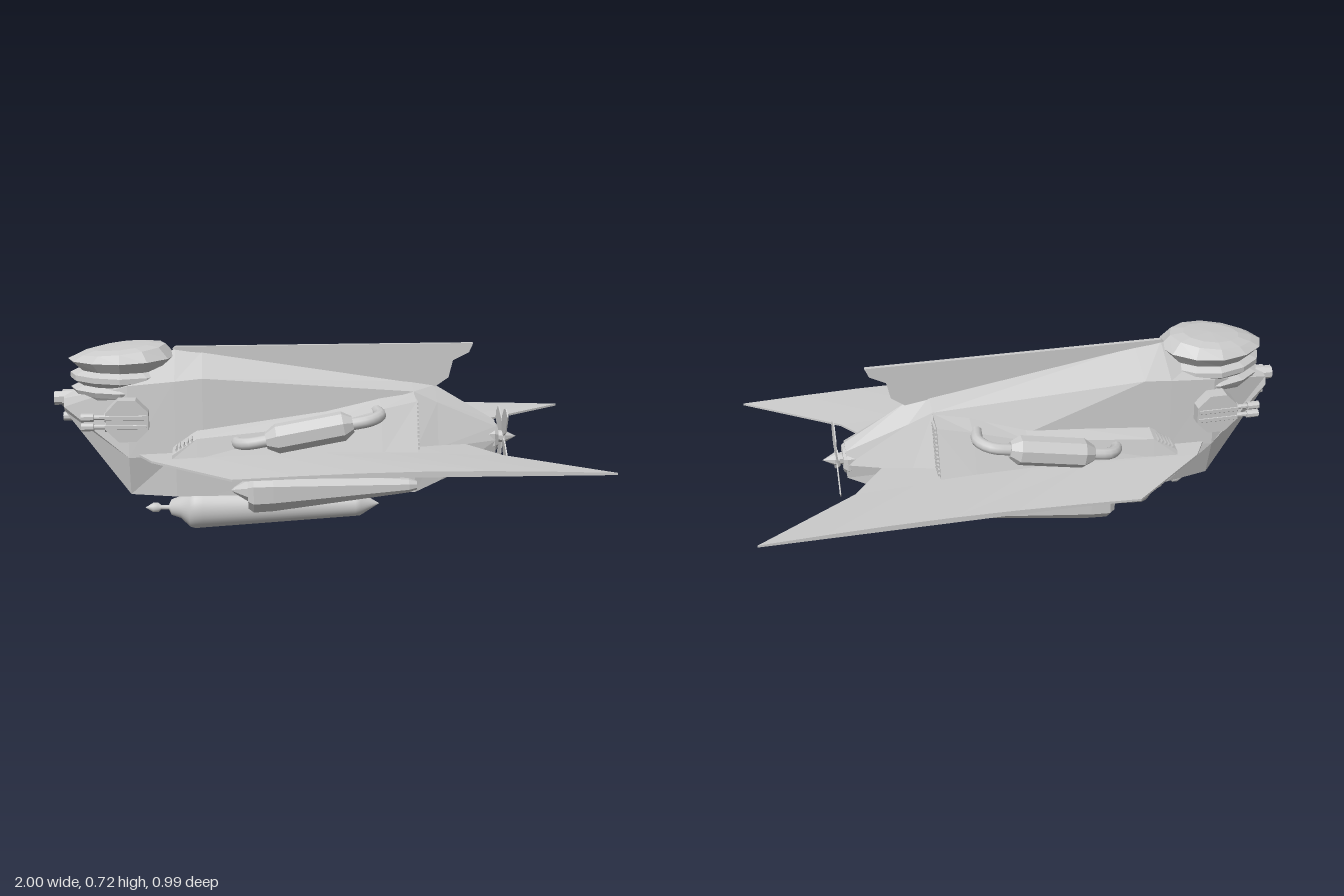
import * as THREE from 'three';

const flat = new THREE.MeshStandardMaterial({ color: 0xcccccc, flatShading: true, side: THREE.DoubleSide });
const smooth = new THREE.MeshStandardMaterial({ color: 0xcccccc, side: THREE.DoubleSide });

// Skin closed cross-sections ([x, y, z] corners) and cap both ends, faces outward.
function loft(rings) {
  const tris = [];
  const n = rings[0].length;
  for (let i = 0; i < rings.length - 1; i++) {
    for (let j = 0; j < n; j++) {
      const k = (j + 1) % n, a = rings[i], b = rings[i + 1];
      tris.push([a[j], b[j], b[k]], [a[j], b[k], a[k]]);
    }
  }
  const last = rings[rings.length - 1];
  for (let j = 1; j < n - 1; j++) {
    tris.push([rings[0][0], rings[0][j], rings[0][j + 1]], [last[0], last[j + 1], last[j]]);
  }
  let volume = 0;
  const v = (p) => new THREE.Vector3(...p);
  for (const [a, b, c] of tris) volume += v(a).dot(v(b).cross(v(c)));
  if (volume < 0) tris.forEach((t) => t.reverse());
  const geo = new THREE.BufferGeometry();
  geo.setAttribute('position', new THREE.Float32BufferAttribute(tris.flat(2), 3));
  geo.computeVertexNormals();
  return geo;
}

// Body of revolution along x; profile is [x, radius] from front to back.
function spindle(profile, sides) {
  const pts = profile.map(([x, r]) => new THREE.Vector2(r, -x)).reverse();
  return new THREE.LatheGeometry(pts, sides, Math.PI / sides).rotateZ(Math.PI / 2);
}

export function createModel() {
  const model = new THREE.Group();
  const add = (name, geo, x = 0, y = 0, z = 0, mat = flat, parent = model) => {
    const m = new THREE.Mesh(geo, mat);
    m.name = name;
    m.position.set(x, y, z);
    parent.add(m);
    return m;
  };

  // Hull: x, bottom y/z, chine y/z, shoulder y/z, ridge y
  const hull = [
    [-0.96, 0.48, 0.04, 0.5, 0.06, 0.53, 0.05, 0.54],
    [-0.72, 0.18, 0.125, 0.33, 0.165, 0.595, 0.145, 0.63],
    [-0.55, 0.18, 0.165, 0.34, 0.168, 0.61, 0.15, 0.7],
    [-0.45, 0.18, 0.165, 0.34, 0.168, 0.62, 0.15, 0.69],
    [0.33, 0.18, 0.165, 0.34, 0.165, 0.545, 0.083, 0.565],
    [0.42, 0.21, 0.132, 0.34, 0.13, 0.5, 0.072, 0.55],
    [0.65, 0.285, 0.045, 0.345, 0.055, 0.395, 0.04, 0.41],
  ];
  add('hull', loft(hull.map(([x, yb, zb, ym, zm, ys, zs, yt]) => [
    [x, yb, zb], [x, ym, zm], [x, ys, zs], [x, yt, 0],
    [x, ys, -zs], [x, ym, -zm], [x, yb, -zb],
  ])));

  // Spine fin
  const fin = new THREE.Shape([
    [-0.56, 0.7], [0.42, 0.545], [0.47, 0.58], [0.485, 0.645], [0.545, 0.675], [0.56, 0.71], [-0.55, 0.71],
  ].map((p) => new THREE.Vector2(...p)));
  add('spineFin', new THREE.ExtrudeGeometry(fin, { depth: 0.016, bevelEnabled: false }), 0, 0, -0.008);

  // Turret: faceted stack stretched along x, with a cap that rises to the rear
  const stack = [
    [0.11, 0.5], [0.14, 0.545], [0.15, 0.565], [0.125, 0.58], [0.15, 0.6], [0.15, 0.62],
    [0.125, 0.635], [0.155, 0.675], [0.125, 0.705], [0.085, 0.715], [0, 0.718],
  ];
  const turret = new THREE.LatheGeometry(stack.map((p) => new THREE.Vector2(...p)), 12);
  const tp = turret.attributes.position;
  for (let i = 0; i < tp.count; i++) {
    const x = tp.getX(i), y = tp.getY(i);
    tp.setX(i, x * 1.28);
    if (y > 0.64) tp.setY(i, y + x * (y > 0.69 ? 0.13 : 0.03));
    if (x < 0) tp.setZ(i, tp.getZ(i) * (1 + x * 0.9));
  }
  turret.computeVertexNormals();
  add('turret', turret, -0.745);

  // Nose sensor and chin gun
  add('noseSensor', spindle([[-1, 0], [-1, 0.026], [-0.97, 0.026], [-0.97, 0.032], [-0.9, 0.032]], 8), 0, 0.52, 0);
  add('chinGun', spindle([[-0.97, 0], [-0.97, 0.016], [-0.82, 0.02]], 8), 0, 0.45, 0);

  // Belly tank with its pegs
  add('bellyTank', spindle([
    [-0.68, 0], [-0.65, 0.018], [-0.63, 0.018], [-0.62, 0.009], [-0.59, 0.009], [-0.58, 0.03], [-0.545, 0.042],
    [-0.51, 0.076], [-0.49, 0.082], [-0.46, 0.08], [0.12, 0.047], [0.14, 0.045], [0.215, 0],
  ], 32), 0, 0.085, 0, smooth);
  for (const x of [-0.48, 0.125]) add('tankPeg', new THREE.CylinderGeometry(0.008, 0.008, 0.1, 8), x, 0.15, 0);

  // Propeller
  const propeller = new THREE.Group();
  propeller.name = 'propeller';
  propeller.position.set(0, 0.345, 0);
  model.add(propeller);
  add('hub', spindle([[0.55, 0.062], [0.645, 0.062], [0.66, 0.05], [0.66, 0.022], [0.69, 0.024], [0.735, 0]], 8), 0, 0, 0, flat, propeller);
  const blade = new THREE.Shape([
    [-0.012, 0.015], [0.012, 0.015], [0.036, 0.06], [0.034, 0.12], [0.016, 0.14], [-0.022, 0.135], [-0.034, 0.06],
  ].map((p) => new THREE.Vector2(...p)));
  for (let i = 0; i < 4; i++) {
    const g = new THREE.ExtrudeGeometry(blade, { depth: 0.005, bevelEnabled: false })
      .rotateY(Math.PI / 2 + 0.07).rotateX(0.61 + i * Math.PI / 2);
    add('blade', g, 0.68, 0, 0, flat, propeller);
  }

  for (const s of [1, -1]) {
    // Wing: span stations of z, leading edge x, trailing edge x, gently cambered
    const wing = [[0.05, -0.74, 0.5], [0.1, -0.72, 0.53], [0.25, -0.635, 0.64], [0.495, -0.345, 1]];
    add('wing', loft(wing.map(([z, x0, x1]) => {
      const ring = [];
      for (let i = 0; i <= 6; i++) ring.push([x0 + (x1 - x0) * i / 6, 0.343 + 0.017 * Math.sin(Math.PI * i / 6), s * z]);
      for (let i = 6; i >= 0; i--) ring.push([x0 + (x1 - x0) * i / 6, 0.335 + 0.012 * Math.sin(Math.PI * i / 6), s * z]);
      return ring;
    })));

    // Shoulder fairing: x, then outer top y/z and inner top y/z
    const fairing = [
      [-0.56, 0.36, 0.24, 0.37, 0.15], [-0.47, 0.415, 0.225, 0.435, 0.14],
      [0, 0.455, 0.205, 0.485, 0.11], [0.2, 0.505, 0.188, 0.525, 0.09], [0.33, 0.53, 0.175, 0.54, 0.08],
    ];
    add('shoulderFairing', loft(fairing.map(([x, yo, zo, yi, zi]) => [
      [x, 0.345, s * 0.242], [x, yo, s * zo], [x, yi, s * zi], [x, 0.345, s * 0.13],
    ])));
    // Exhaust slats at the back, intake slats at the front
    for (let i = 0; i < 12; i++) {
      const t = (i + 0.5) / 12;
      add('exhaustSlat', new THREE.BoxGeometry(0.012, 0.009, 0.065), 0.332, 0.36 + 0.165 * t, s * (0.197 - 0.067 * t));
    }
    for (let i = 0; i < 5; i++) {
      add('intakeSlat', new THREE.BoxGeometry(0.007, 0.012, 0.06), -0.545 + i * 0.014, 0.375 + i * 0.0085, s * 0.2).rotation.z = 0.5;
    }

    // Looped exhaust pipe and muffler
    const path = new THREE.CatmullRomCurve3([
      [-0.32, 0.4, 0.17], [-0.325, 0.4, 0.23], [-0.29, 0.408, 0.275], [-0.2, 0.425, 0.285],
      [0.07, 0.475, 0.285], [0.15, 0.487, 0.275], [0.19, 0.493, 0.23], [0.185, 0.493, 0.16],
    ].map(([x, y, z]) => new THREE.Vector3(x, y, s * z)));
    add('exhaustPipe', new THREE.TubeGeometry(path, 32, 0.022, 10), 0, 0, 0, smooth);
    add('muffler', spindle([
      [-0.16, 0], [-0.16, 0.03], [-0.12, 0.054], [0.12, 0.054], [0.155, 0.03], [0.155, 0],
    ], 8), -0.065, 0.45, s * 0.285).rotation.z = 0.18;

    // Octagonal side boss with a pair of guns
    add('sideBoss', new THREE.CylinderGeometry(0.083, 0.083, 0.09, 8).rotateY(Math.PI / 8).rotateX(Math.PI / 2), -0.72, 0.477, s * 0.155);
    for (const y of [0.455, 0.49]) {
      add('sideGun', spindle([
        [-0.885, 0], [-0.885, 0.015], [-0.84, 0.015], [-0.84, 0.009], [-0.8, 0.009], [-0.8, 0.018], [-0.65, 0.018], [-0.65, 0],
      ], 8), 0, y, s * 0.185);
    }

    // Underwing pod, hung from pegs
    add('wingPod', spindle([
      [-0.35, 0], [-0.34, 0.01], [-0.29, 0.042], [-0.29, 0.068], [-0.27, 0.083], [-0.2, 0.08], [0.29, 0.026], [0.32, 0.016], [0.32, 0],
    ], 8), 0, 0.245, s * 0.293).rotation.z = 0.01;
    for (const x of [-0.22, 0.2]) add('podPeg', new THREE.CylinderGeometry(0.008, 0.008, 0.09, 8), x, 0.308, s * 0.293);
  }
  return model;
}
